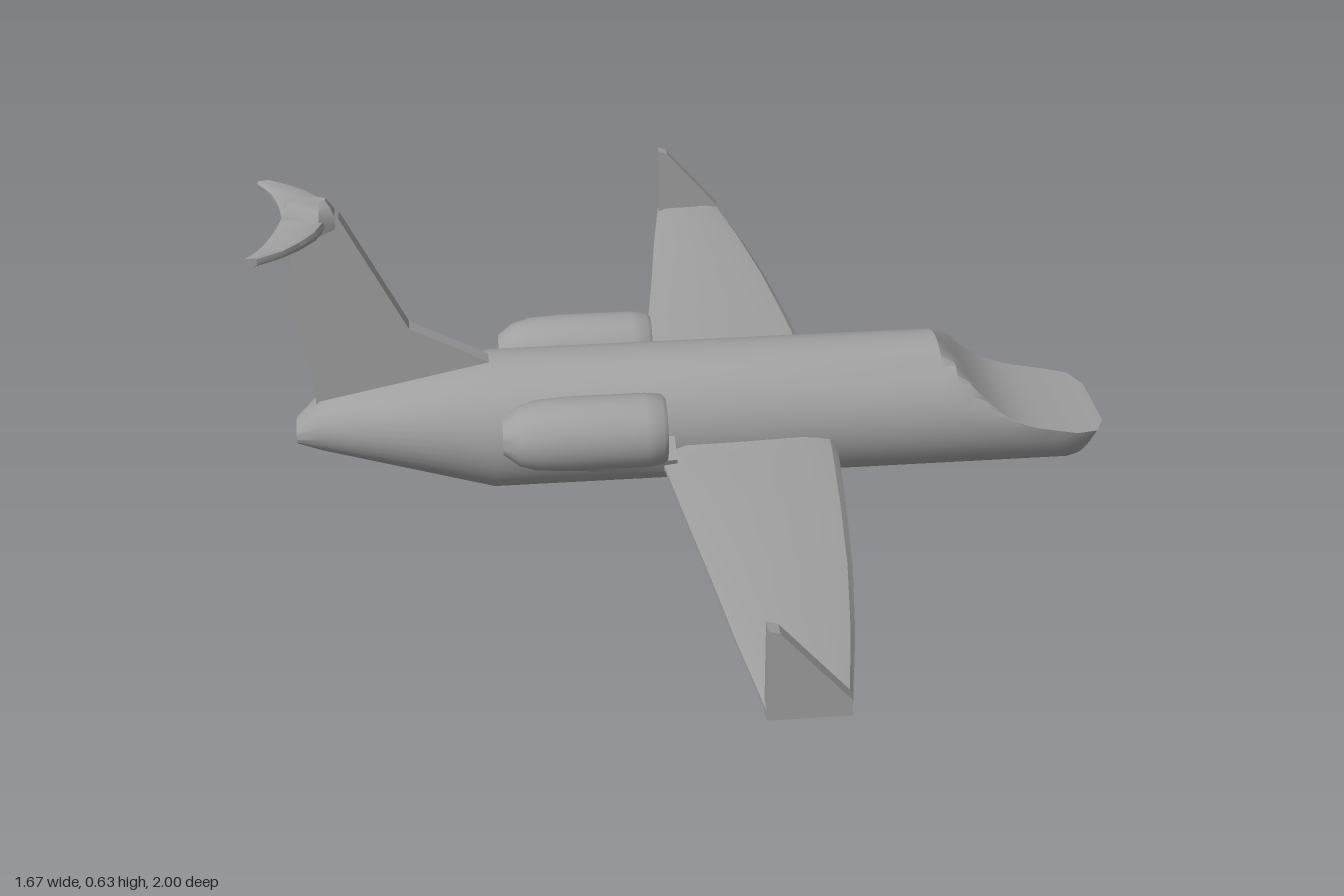
import * as THREE from 'three';
import { toCreasedNormals } from 'three/addons/utils/BufferGeometryUtils.js';

const AXIS = 0.024; // z of the fuselage centre line

const grey = new THREE.MeshStandardMaterial({ color: 0xa0a0a0 });
grey.name = 'plain grey';

// Skin a list of equal-length rings of [x, y, z] points and cap both ends.
function loft(rings, crease = 0.55) {
  const n = rings[0].length, pos = [], idx = [];
  rings.forEach(r => r.forEach(p => pos.push(...p)));
  for (let i = 0; i < rings.length - 1; i++) {
    for (let j = 0; j < n; j++) {
      const a = i * n + j, b = i * n + (j + 1) % n;
      idx.push(a, b, a + n, b, b + n, a + n);
    }
  }
  [[0, true], [rings.length - 1, false]].forEach(([i, flip]) => {
    const c = pos.length / 3;
    pos.push(...[0, 1, 2].map(k => rings[i].reduce((s, p) => s + p[k], 0) / n));
    for (let j = 0; j < n; j++) {
      const a = i * n + j, b = i * n + (j + 1) % n;
      idx.push(...(flip ? [c, b, a] : [c, a, b]));
    }
  });
  // Turn the faces outwards if the enclosed volume is negative.
  const v = k => new THREE.Vector3().fromArray(pos, idx[k] * 3);
  let volume = 0;
  for (let k = 0; k < idx.length; k += 3) volume += v(k).dot(v(k + 1).cross(v(k + 2)));
  if (volume < 0) idx.reverse();
  const g = new THREE.BufferGeometry();
  g.setAttribute('position', new THREE.Float32BufferAttribute(pos, 3));
  g.setIndex(idx);
  return toCreasedNormals(g, crease);
}

function lerpTable(table, t) {
  let i = 0;
  while (i < table.length - 2 && t > table[i + 1][0]) i++;
  const [a, b] = [table[i], table[i + 1]];
  const f = THREE.MathUtils.clamp((t - a[0]) / (b[0] - a[0]), 0, 1);
  return a.map((q, k) => q + (b[k] - q) * f);
}

// Blunt wing section between trailing edge x0 and leading edge x1.
function foil(x0, x1, y0, y1, z) {
  const c = x1 - x0, h = y1 - y0;
  return [[0, 0.4], [0.15, 0.05], [0.8, 0], [0.96, 0.15], [1, 0.5], [0.96, 0.85], [0.8, 1], [0.15, 0.9], [0, 0.65]]
    .map(([u, w]) => [x0 + u * c, y0 + w * h, z]);
}

function part(name, geometry, parent) {
  const m = new THREE.Mesh(geometry, grey);
  m.name = name;
  parent.add(m);
  return m;
}

// Flat plate with an outline in x and y, centred on z.
function plate(points, thickness, z) {
  const shape = new THREE.Shape(points.map(p => new THREE.Vector2(...p)));
  const g = new THREE.ExtrudeGeometry(shape, { depth: thickness, bevelEnabled: false });
  return g.translate(0, 0, z - thickness / 2);
}

function fuselageGeometry() {
  // x, centre y, half height, half width
  const body = [[-0.78, 0.135, 0.025, 0.032], [-0.73, 0.153, 0.058, 0.062],
    [-0.395, 0.141, 0.138, 0.136], [0.77, 0.141, 0.138, 0.136]];
  // x, height at which the windscreen and nose cut the tube
  const cut = [[0.5, 0.28], [0.583, 0.19], [0.63, 0.153], [0.68, 0.133], [0.77, 0.115], [0.84, 0.108]];
  const ring = (cy, ry, rz, top, xAt) => Array.from({ length: 40 }, (_, j) => {
    const a = j / 40 * Math.PI * 2;
    const y = Math.min(cy + ry * Math.cos(a), top);
    return [xAt(y), y, AXIS + rz * Math.sin(a)];
  });
  const stations = [-0.78, -0.73, -0.395, 0.1, 0.5];
  for (let i = 1; i <= 10; i++) stations.push(0.5 + 0.027 * i);
  const rings = stations.map(x => {
    const [, cy, ry, rz] = lerpTable(body, x);
    return ring(cy, ry, rz, x < 0.5 ? 1 : lerpTable(cut, x)[1], () => x);
  });
  // Raked, slightly rounded nose end
  rings.push(ring(0.141, 0.137, 0.122, 0.111, y => 0.782 + 0.30 * y));
  rings.push(ring(0.141, 0.132, 0.075, 0.108, y => 0.785 + 0.49 * y));
  return loft(rings);
}

function wingGeometry() {
  // distance from centre, trailing x, leading x, bottom y, top y
  const plan = [[0, -0.07, 0.285, 0.06, 0.14], [0.13, -0.07, 0.285, 0.07, 0.14],
    [0.2, -0.068, 0.28, 0.102, 0.138], [0.4, -0.045, 0.262, 0.105, 0.138],
    [0.6, -0.02, 0.24, 0.105, 0.137], [0.8, 0.003, 0.21, 0.105, 0.136], [1, 0.03, 0.172, 0.105, 0.135]];
  const half = s => plan.map(([d, a, b, lo, hi]) => foil(a, b, lo, hi, s * d));
  return loft([...half(-1).reverse(), ...half(1).slice(1)]);
}

function tailplaneGeometry() {
  // Swept crescent: distance from centre, trailing x, leading x, bottom y, top y
  const plan = [[0, -0.772, -0.685, 0.565, 0.615], [0.04, -0.778, -0.69, 0.578, 0.607],
    [0.08, -0.787, -0.703, 0.58, 0.605], [0.12, -0.8, -0.73, 0.581, 0.603],
    [0.15, -0.815, -0.76, 0.582, 0.601], [0.178, -0.832, -0.805, 0.583, 0.6]];
  const half = s => plan.map(([d, a, b, lo, hi]) => foil(a, b, lo, hi, AXIS + s * d));
  return loft([...half(-1).reverse(), ...half(1).slice(1)]);
}

// Nacelle turned about its own axis, with a hollow intake
function engineGeometry() {
  const profile = [[0, -0.375], [0.035, -0.375], [0.058, -0.345], [0.068, -0.31], [0.072, -0.25],
    [0.072, -0.1], [0.068, -0.068], [0.06, -0.06], [0.052, -0.068], [0.048, -0.12], [0, -0.12]]
    .map(([r, x]) => new THREE.Vector2(r, x));
  return toCreasedNormals(new THREE.LatheGeometry(profile, 28).rotateZ(-Math.PI / 2), 0.7);
}

export function createModel() {
  const model = new THREE.Group();
  model.name = 'twin engine jet';
  part('fuselage', fuselageGeometry(), model);
  part('wings', wingGeometry(), model);

  // Upright triangular wing tips
  const tip = [[0.03, 0.105], [0.172, 0.105], [0.172, 0.135], [0.05, 0.275], [0.03, 0.282]];
  for (const s of [-1, 1]) {
    const side = s > 0 ? 'left' : 'right';
    part(side + 'Winglet', plate(tip, 0.028, s * 0.986), model);

    // Engine pod with its pylon
    const engine = new THREE.Group();
    engine.name = side + 'Engine';
    model.add(engine);
    part('nacelle', engineGeometry(), engine).position.set(0, 0.196, AXIS + s * 0.174);
    const pylon = new THREE.BoxGeometry(0.24, 0.05, 0.08).translate(-0.2, 0.19, AXIS + s * 0.11);
    part('pylon', pylon, engine);
    // Fairing running from the pod down to the wing root
    const fairing = [-0.32, -0.2, -0.04].map((x, i) => [[0.12, 0.1 - 0.012 * i], [0.185, 0.125 - 0.01 * i],
      [0.2, 0.14], [0.12, 0.16]].map(([d, y]) => [x, y, AXIS + s * d]));
    part('fairing', loft(fairing), engine);
  }

  // Swept fin with a fillet at its foot
  const fin = [[-0.735, 0.16], [-0.38, 0.24], [-0.395, 0.278], [-0.547, 0.36], [-0.665, 0.6],
    [-0.69, 0.62], [-0.762, 0.62], [-0.758, 0.55], [-0.776, 0.41], [-0.74, 0.28]];
  part('fin', plate(fin, 0.034, AXIS + 0.003), model);
  part('tailplane', tailplaneGeometry(), model);

  // Cap where the fin meets the tailplane
  const cap = [[0.58, 0.05, 0], [0.605, 0.042, 0], [0.622, 0.026, 0.004], [0.634, 0.012, 0.008]]
    .map(([y, w, i]) => [[-0.768 + i, y, -w * 0.6], [-0.768 + i, y, w * 0.6], [-0.7, y, w],
      [-0.672 - i * 2, y, w * 0.4], [-0.672 - i * 2, y, -w * 0.4], [-0.7, y, -w]]
      .map(([x, yy, z]) => [x, yy, z + AXIS + 0.003]));
  part('finCap', loft(cap), model);
  return model;
}
